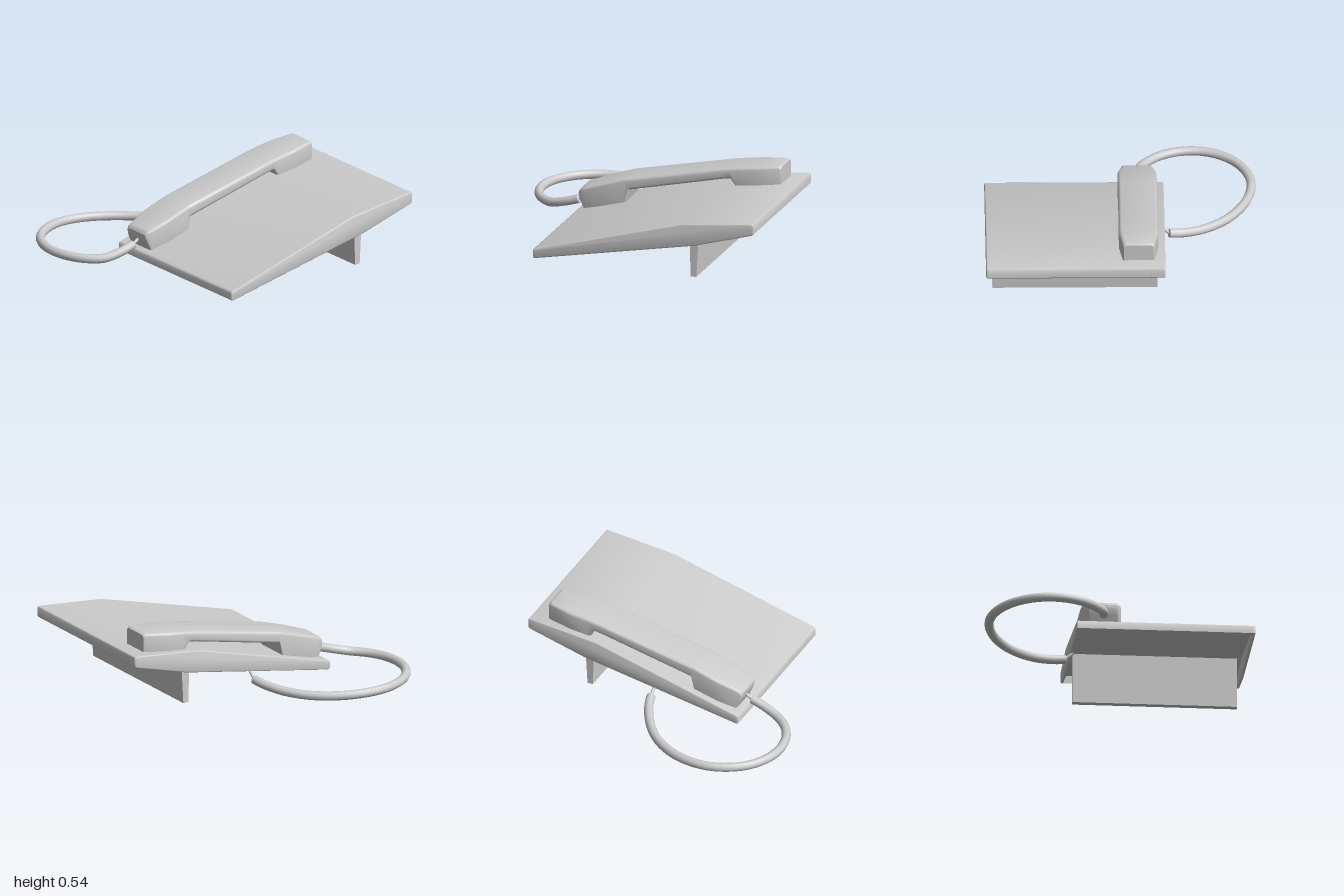
import * as THREE from 'three';
import { toCreasedNormals } from 'three/addons/utils/BufferGeometryUtils.js';

const material = new THREE.MeshStandardMaterial({ color: 0xcccccc, side: THREE.DoubleSide });

function part(name, geometry, parent) {
  const mesh = new THREE.Mesh(geometry, material);
  mesh.name = name;
  parent.add(mesh);
  return mesh;
}

// Extrudes a side profile of [z, y] points across the width from x0 to x1
function extrudeAcross(profile, x0, x1, bevel = 0) {
  const shape = new THREE.Shape(profile.map(([z, y]) => new THREE.Vector2(-z, y)));
  const geo = new THREE.ExtrudeGeometry(shape, {
    depth: x1 - x0 - 2 * bevel,
    bevelEnabled: bevel > 0,
    bevelSize: bevel,
    bevelThickness: bevel,
    bevelOffset: -bevel,
    bevelSegments: 3,
  });
  return toCreasedNormals(geo.rotateY(Math.PI / 2).translate(x0 + bevel, 0, 0), 0.6);
}

// Lofts rounded rectangles [z, top, bottom, halfWidth] from front to back
function loft(sections, radius) {
  const pos = [], index = [], n = 16;
  for (const [z, top, bottom, hw] of sections) {
    const r = Math.min(radius, (top - bottom) * 0.4);
    for (let corner = 0; corner < 4; corner++) {
      const sx = corner === 0 || corner === 3 ? 1 : -1;
      const cx = sx * (hw - r);
      const cy = corner < 2 ? top - r : bottom + r;
      for (let k = 0; k < 4; k++) {
        const a = (corner + k / 3) * Math.PI / 2;
        pos.push(cx + r * Math.cos(a), cy + r * Math.sin(a), z);
      }
    }
  }
  const last = (sections.length - 1) * n;
  for (let i = 0; i < last; i += n) {
    for (let j = 0; j < n; j++) {
      const a = i + j, b = i + (j + 1) % n;
      index.push(a, a + n, b, b, a + n, b + n);
    }
  }
  for (let j = 1; j < n - 1; j++) {
    index.push(0, j, j + 1, last, last + j + 1, last + j);
  }
  const geo = new THREE.BufferGeometry();
  geo.setAttribute('position', new THREE.Float32BufferAttribute(pos, 3));
  geo.setIndex(index);
  return toCreasedNormals(geo, 0.6);
}

function tube(points, radius, segments) {
  const curve = new THREE.CatmullRomCurve3(points.map((p) => new THREE.Vector3(...p)));
  return new THREE.TubeGeometry(curve, segments, radius, 12);
}

export function createModel() {
  const model = new THREE.Group();
  model.name = 'deskTelephone';

  // Wedge-shaped body: a bent deck with front and back lips, open underneath
  const body = new THREE.Group();
  body.name = 'body';
  model.add(body);
  const left = 0.905, right = -0.295, bevel = 0.01, wall = 0.02;
  const outer = [[0.563, 0.033], [0.563, 0.08], [0.557, 0.089], [0.545, 0.094], [-0.49, 0.375],
    [-0.98, 0.425], [-0.994, 0.421], [-1, 0.41], [-1, 0.357], [-0.985, 0.343]];
  const inner = [[-0.982, 0.342], [-0.982, 0.398], [-0.49, 0.347], [0.545, 0.066], [0.545, 0.027]];
  part('deck', extrudeAcross([...outer, ...inner], right + bevel, left - bevel), body);

  const sideProfile = [...outer, [-0.58, 0.231], [0.55, 0.025]];
  part('rightWall', extrudeAcross(sideProfile, right, right + wall, bevel), body);
  part('leftWall', extrudeAcross(sideProfile, left - wall, left, bevel), body);

  // Tapered plate that props up the back
  const leg = [[-0.54, 0], [-0.58, 0], [-0.6, 0.36], [-0.53, 0.36]];
  part('rearLeg', extrudeAcross(leg, -0.245, 0.858), body);

  // Handset: mouthpiece in front, grip, earpiece at the back, both ends set into the deck
  const handset = part('handset', loft([
    [0.553, 0.215, 0.185, 0.095],
    [0.538, 0.236, 0.145, 0.105],
    [0.5, 0.25, 0.064, 0.111],
    [0.38, 0.293, 0.097, 0.131],
    [0.22, 0.345, 0.14, 0.131],
    [0.19, 0.352, 0.268, 0.131],
    [-0.47, 0.488, 0.414, 0.131],
    [-0.53, 0.498, 0.424, 0.131],
    [-0.585, 0.507, 0.345, 0.131],
    [-0.7, 0.522, 0.355, 0.131],
    [-0.865, 0.54, 0.37, 0.107],
    [-0.88, 0.532, 0.378, 0.1],
  ], 0.02), model);
  handset.position.x = -0.116;

  // Cord looping from the mouthpiece round to the side of the body
  const cord = new THREE.Group();
  cord.name = 'cord';
  model.add(cord);
  const path = [
    [-0.115, 0.13, 0.585], [-0.122, 0.1, 0.68], [-0.16, 0.07, 0.8], [-0.25, 0.065, 0.895],
    [-0.36, 0.065, 0.95], [-0.49, 0.065, 0.969], [-0.62, 0.064, 0.945], [-0.75, 0.062, 0.865],
    [-0.84, 0.061, 0.74], [-0.88, 0.059, 0.6], [-0.868, 0.055, 0.45], [-0.81, 0.05, 0.3],
    [-0.7, 0.048, 0.15], [-0.55, 0.056, 0.03], [-0.41, 0.077, -0.043], [-0.33, 0.092, -0.067],
  ];
  part('cordTube', tube(path, 0.031, 72), cord);
  // Flattened caps close the two ends of the cord
  for (const [end, next] of [[0, 1], [path.length - 1, path.length - 2]]) {
    const cap = part('cordEnd', new THREE.SphereGeometry(0.031, 12, 8), cord);
    cap.position.set(...path[end]);
    cap.lookAt(...path[next]);
    cap.scale.z = 0.25;
  }
  part('handsetPlug', tube([[-0.115, 0.13, 0.585], [-0.116, 0.17, 0.52]], 0.011, 1), cord);
  part('bodyPlug', tube([[-0.33, 0.092, -0.067], [-0.275, 0.14, -0.067]], 0.011, 1), cord);

  return model;
}
